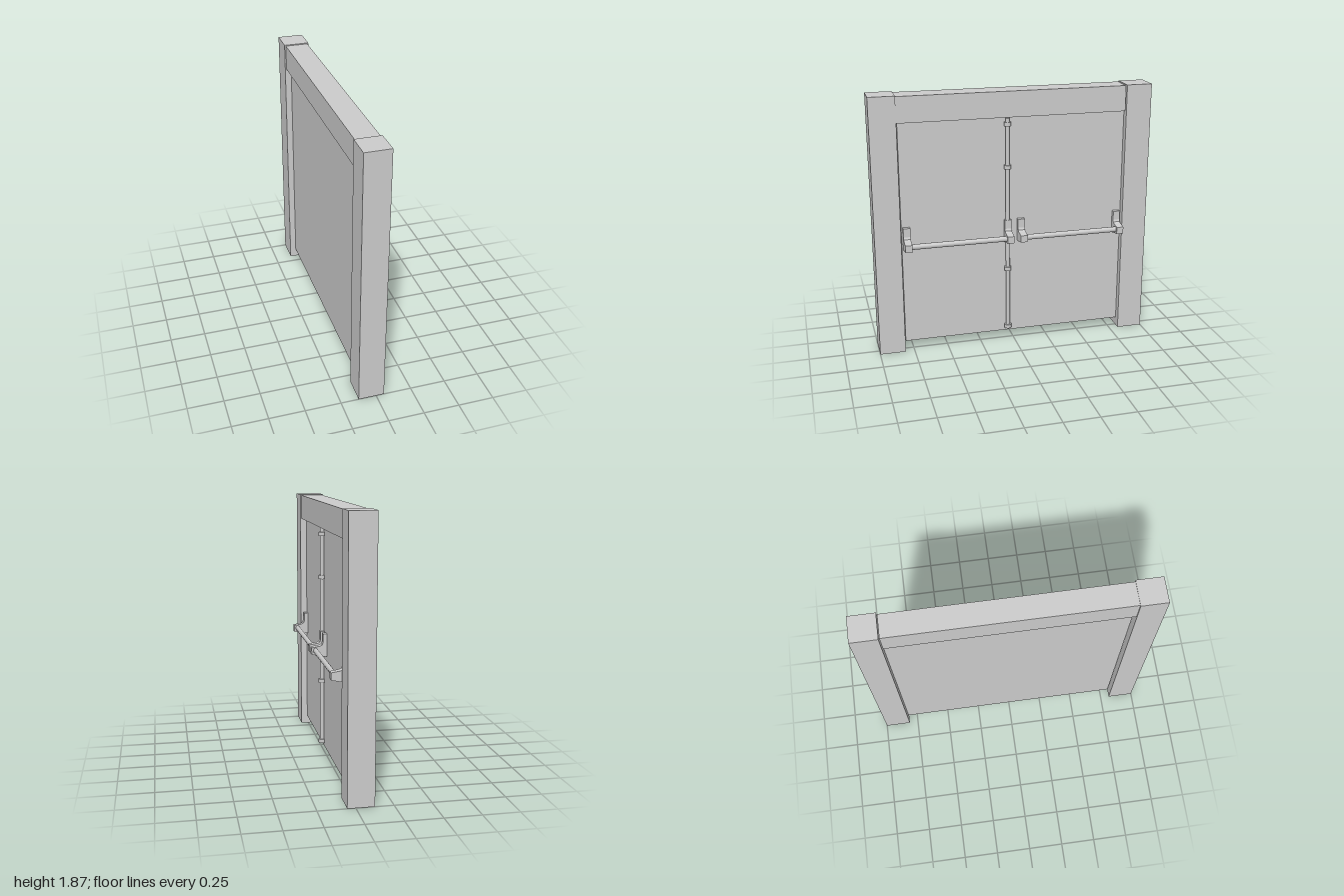
import * as THREE from 'three';

const material = new THREE.MeshStandardMaterial({ color: 0xcccccc });

function addMesh(parent, name, geometry, x = 0, y = 0, z = 0) {
  const mesh = new THREE.Mesh(geometry, material);
  mesh.name = name;
  mesh.position.set(x, y, z);
  parent.add(mesh);
  return mesh;
}

// Box given by its limits on each axis
function addBox(parent, name, [x0, x1], [y0, y1], [z0, z1]) {
  return addMesh(parent, name, new THREE.BoxGeometry(x1 - x0, y1 - y0, z1 - z0),
    (x0 + x1) / 2, (y0 + y1) / 2, (z0 + z1) / 2);
}

// L-shaped bracket: upright mounting plate with a tapered arm at its foot
function bracketGeometry(width) {
  const shape = new THREE.Shape([
    [0.005, 0.77], [0.04, 0.772], [0.122, 0.788], [0.122, 0.838],
    [0.06, 0.848], [0.046, 0.856], [0.04, 0.872], [0.04, 0.935], [0.005, 0.935],
  ].map(([x, y]) => new THREE.Vector2(x, y)));
  return new THREE.ExtrudeGeometry(shape, { depth: width, bevelEnabled: false })
    .translate(0, 0, -width / 2);
}

export function createModel() {
  const model = new THREE.Group();
  model.name = 'doorway';

  // Frame
  const frame = new THREE.Group();
  frame.name = 'frame';
  model.add(frame);
  addBox(frame, 'frontPost', [-0.125, 0.056], [0, 1.87], [0.816, 1]);
  addBox(frame, 'backPost', [-0.125, 0.056], [0, 1.87], [-1, -0.816]);
  addBox(frame, 'lintel', [-0.117, 0.047], [1.683, 1.865], [-0.81, 0.818]);

  // Door panel, recessed on both faces of the frame
  addBox(model, 'doorPanel', [-0.08, 0.01], [0.063, 1.69], [-0.815, 0.807]);

  // Two push bars, each held by a pair of brackets
  const bracket = bracketGeometry(0.05);
  for (const [name, z0, z1] of [['frontPushBar', 0.044, 0.772], ['backPushBar', -0.778, -0.053]]) {
    const group = new THREE.Group();
    group.name = name;
    model.add(group);
    for (const z of [z0, z1]) addMesh(group, 'bracket', bracket, 0, 0, z);
    const bar = new THREE.CylinderGeometry(0.02, 0.02, z1 - z0, 12)
      .rotateX(Math.PI / 2).scale(0.85, 1, 1);
    addMesh(group, 'bar', bar, 0.094, 0.816, (z0 + z1) / 2);
  }

  // Vertical locking rod with guide collars
  const lock = new THREE.Group();
  lock.name = 'lockingRod';
  lock.position.set(0.025, 0, 0.045);
  model.add(lock);
  addMesh(lock, 'rod', new THREE.CylinderGeometry(0.015, 0.015, 1.586, 12), 0, 0.883, 0);
  const collar = new THREE.CylinderGeometry(0.026, 0.026, 0.027, 12);
  for (const y of [0.104, 0.563, 1.327, 1.634]) addMesh(lock, 'collar', collar, 0, y, 0);

  return model;
}
